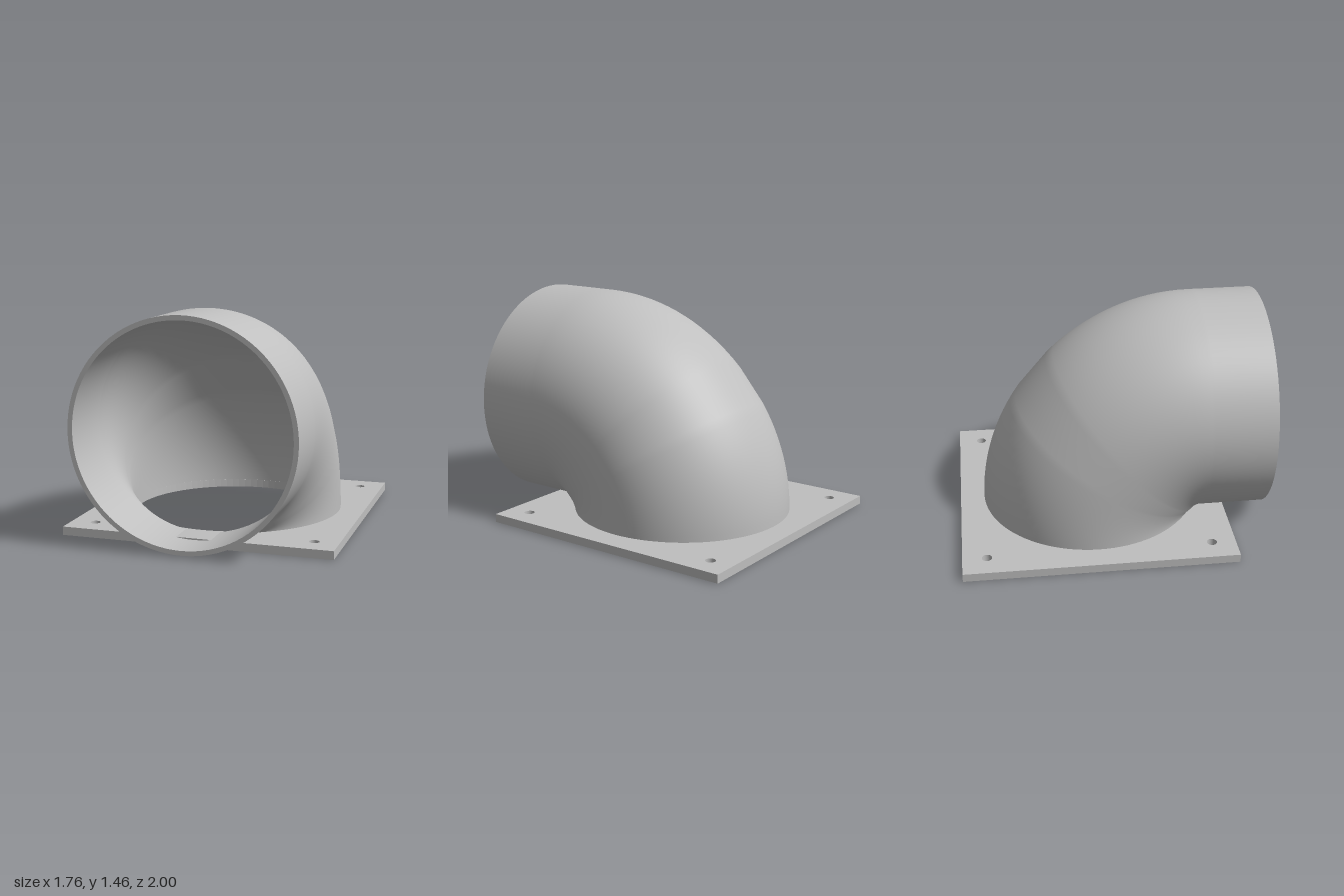
import * as THREE from 'three';

const OUTER = 0.72, INNER = 0.69, BEND = 0.70;
const PIVOT = { y: 0.035, z: 0.58 }, FRONT = 1;
const BASE_Z = PIVOT.z - BEND;
const SEG = 96;

// Sweep of circular sections: a quarter bend followed by a straight run to the front
function pipeWall(radius, inward) {
  const stations = [];
  for (let i = 0; i <= 12; i++) stations.push({ t: 33 * i / 12, z: 0 });
  // the skipped angles leave the flat facet at the back of the elbow
  for (let i = 0; i <= 16; i++) stations.push({ t: 46 + 44 * i / 16, z: 0 });
  for (const z of [0.02, FRONT - PIVOT.z]) stations.push({ t: 90, z });

  const pos = [], index = [];
  stations.forEach(({ t, z }) => {
    const a = THREE.MathUtils.degToRad(t);
    const bend = BEND - 0.016 * Math.sin(2 * a) ** 2;
    for (let j = 0; j < SEG; j++) {
      const b = j / SEG * Math.PI * 2;
      let d = bend + radius * Math.cos(b);
      // keep the tight inside of the bend from folding through the pivot
      if (t < 90) d = Math.max(d, inward ? 0.01 : 0.002);
      pos.push(radius * Math.sin(b), PIVOT.y + d * Math.sin(a), PIVOT.z - d * Math.cos(a) + z);
    }
  });
  for (let i = 0; i < stations.length - 1; i++) {
    for (let j = 0; j < SEG; j++) {
      const k = (j + 1) % SEG;
      const a = i * SEG + j, b = a + SEG, c = i * SEG + k, d = c + SEG;
      if (inward) index.push(a, c, b, b, c, d);
      else index.push(a, b, c, b, d, c);
    }
  }
  const geo = new THREE.BufferGeometry();
  geo.setAttribute('position', new THREE.Float32BufferAttribute(pos, 3));
  geo.setIndex(index);
  geo.computeVertexNormals();
  return geo;
}

// Square mounting plate with the pipe bore and four bolt holes
function plateGeometry() {
  const h = 0.882;
  const shape = new THREE.Shape([
    new THREE.Vector2(-h, -h), new THREE.Vector2(h, -h),
    new THREE.Vector2(h, h), new THREE.Vector2(-h, h),
  ]);
  const drill = (x, y, r) => shape.holes.push(new THREE.Path().absarc(x, y, r, 0, Math.PI * 2, true));
  drill(0, 0, INNER);
  for (const x of [-0.725, 0.725]) for (const y of [-0.725, 0.725]) drill(x, y, 0.033);
  const geo = new THREE.ExtrudeGeometry(shape, { depth: 0.055, bevelEnabled: false, curveSegments: 48 });
  return geo.rotateX(-Math.PI / 2).translate(0, 0, h - 1);
}

export function createModel() {
  const grey = new THREE.MeshStandardMaterial({ color: 0xbfbfbf });
  grey.name = 'light grey';
  const model = new THREE.Group();
  model.name = 'flangedElbow';
  const add = (name, geo, parent) => {
    const mesh = new THREE.Mesh(geo, grey);
    mesh.name = name;
    parent.add(mesh);
    return mesh;
  };

  add('mountingPlate', plateGeometry(), model);

  const pipe = new THREE.Group();
  pipe.name = 'elbowPipe';
  model.add(pipe);
  add('outerWall', pipeWall(OUTER, false), pipe);
  add('innerWall', pipeWall(INNER, true), pipe);
  // annular end face of the front opening
  add('frontRim', new THREE.RingGeometry(INNER, OUTER, SEG), pipe)
    .position.set(0, PIVOT.y + BEND, FRONT);

  return model;
}
